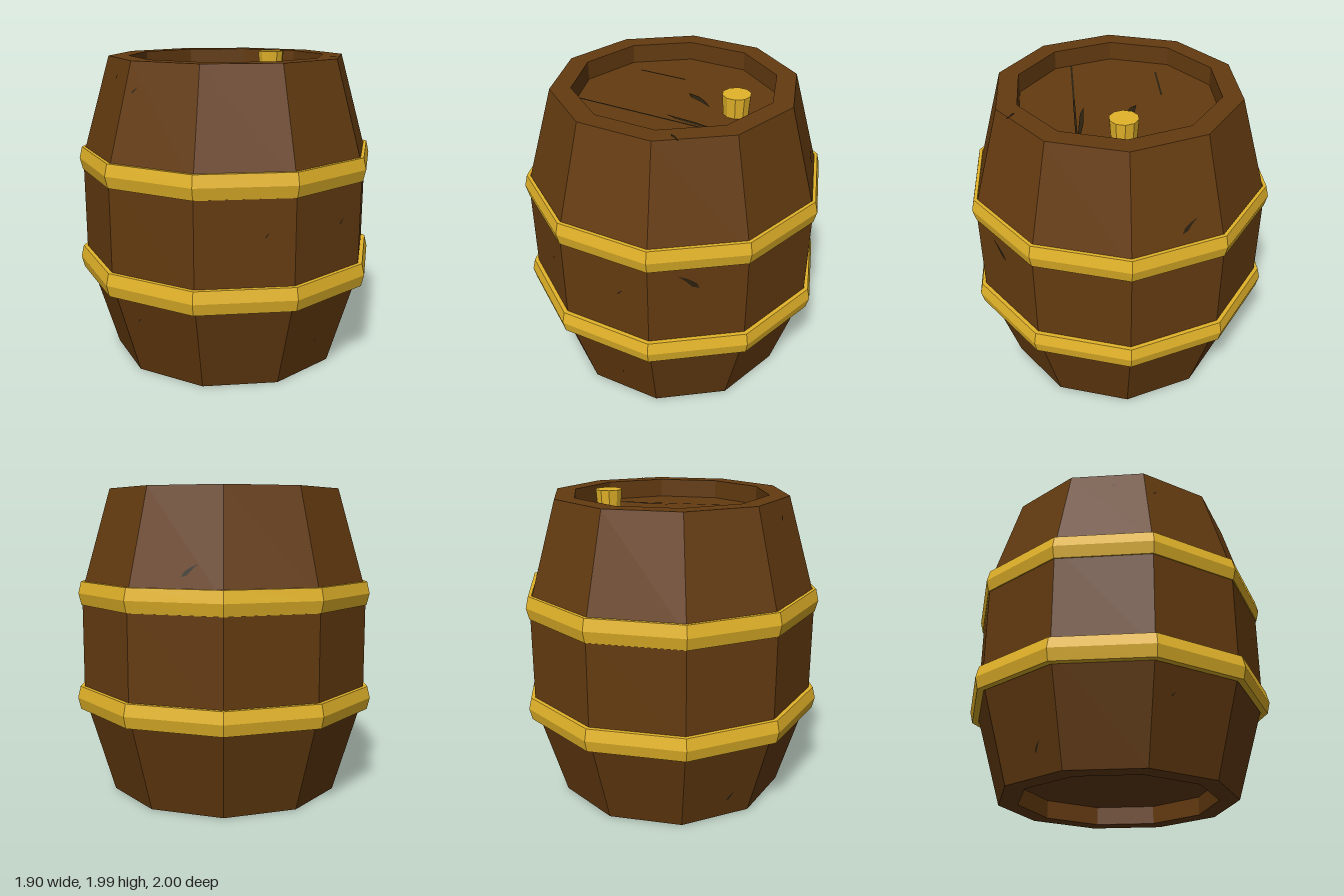
import * as THREE from 'three';

const SIDES = 10;
const HEIGHT = 1.985;
const FLOOR = 1.865;

export function createModel() {
  const model = new THREE.Group();
  model.name = 'barrel';

  const wood = new THREE.MeshStandardMaterial({ name: 'brown wood', color: 0x643b10, flatShading: true });
  const gold = new THREE.MeshStandardMaterial({ name: 'golden metal', color: 0xe2b329, flatShading: true });
  const dark = new THREE.MeshStandardMaterial({ name: 'dark crack', color: 0x2b200f, side: THREE.DoubleSide });

  const add = (name, geometry, material, parent = model) => {
    const mesh = new THREE.Mesh(geometry, material);
    mesh.name = name;
    parent.add(mesh);
    return mesh;
  };
  const lathe = (points) =>
    new THREE.LatheGeometry(points.map(([r, y]) => new THREE.Vector2(r, y)), SIDES);

  // Staved body with a recessed lid and base
  const belly = [[0.765, 0], [0.955, 0.64], [0.955, 1.33], [0.765, HEIGHT]];
  add('body', lathe([
    [0, 0.12], [0.637, 0.12], [0.637, 0], ...belly,
    [0.637, HEIGHT], [0.637, FLOOR], [0, FLOOR],
  ]), wood);

  // Hoops with a ridged outer face
  const hoop = (name, y, r) => add(name, lathe([
    [0.94, y - 0.075], [r - 0.018, y - 0.075], [r, y],
    [r - 0.018, y + 0.075], [0.94, y + 0.075], [0.94, y - 0.075],
  ]), gold);
  hoop('upperHoop', 1.322, 0.98);
  hoop('lowerHoop', 0.64, 1.0);

  // Bung standing on the lid
  add('bung', new THREE.CylinderGeometry(0.088, 0.078, 0.13, 10), gold)
    .position.set(0, FLOOR + 0.062, -0.41);

  // Ragged slanted sliver, used for every crack in the wood
  const sliver = (w, h) => new THREE.ShapeGeometry(new THREE.Shape(
    [[-0.5, -0.5], [-0.15, -0.35], [0.15, 0.1], [0.5, 0.5], [0.05, 0.25], [-0.35, -0.1]]
      .map(([x, y]) => new THREE.Vector2(x * w, y * h))));

  // Cracks on the staves: stave index, offset along the stave's width, height, size
  const staveCracks = [
    [3, -0.055, 1.15, -0.13, 0.1], [2, 0.11, 1.03, 0.04, 0.04], [1, 0.13, 1.03, 0.03, 0.03],
    [0, -0.18, 1.82, 0.04, 0.04], [8, 0.08, 0.16, 0.05, 0.07], [5, 0.08, 1.5, 0.1, 0.08],
    [0, -0.14, 0.41, 0.03, 0.03], [2, 0.03, 0.23, 0.02, 0.04], [9, 0.05, 1.88, 0.03, 0.03],
  ];
  for (const [stave, u, y, w, h] of staveCracks) {
    const i = y < belly[1][1] ? 0 : y < belly[2][1] ? 1 : 2;
    const [[r0, y0], [r1, y1]] = [belly[i], belly[i + 1]];
    const apothem = Math.cos(Math.PI / SIDES);
    const slope = apothem * (r1 - r0) / (y1 - y0);
    const turn = new THREE.Group();
    turn.name = 'staveCrack';
    turn.rotation.y = (stave + 0.5) * 2 * Math.PI / SIDES;
    model.add(turn);
    const crack = add('crack', sliver(w, h), dark, turn);
    crack.position.set(u, y, apothem * r0 + slope * (y - y0) + 0.004);
    crack.rotation.x = Math.atan(slope);
  }

  // Cracks lying on the lid and rim
  const flatCrack = (geometry, x, y, z) => {
    const crack = add('lidCrack', geometry, dark);
    crack.rotation.x = -Math.PI / 2;
    crack.position.set(x, y + 0.004, z);
  };
  flatCrack(sliver(0.12, 0.2), -0.05, FLOOR, -0.14);
  flatCrack(sliver(0.07, 0.5), 0.25, FLOOR, -0.3);
  flatCrack(sliver(0.05, 0.07), 0.64, HEIGHT, -0.33);
  flatCrack(new THREE.PlaneGeometry(0.012, 1.08), 0.27, FLOOR, 0);
  flatCrack(new THREE.PlaneGeometry(0.012, 0.33), -0.28, FLOOR, 0.24);

  return model;
}
